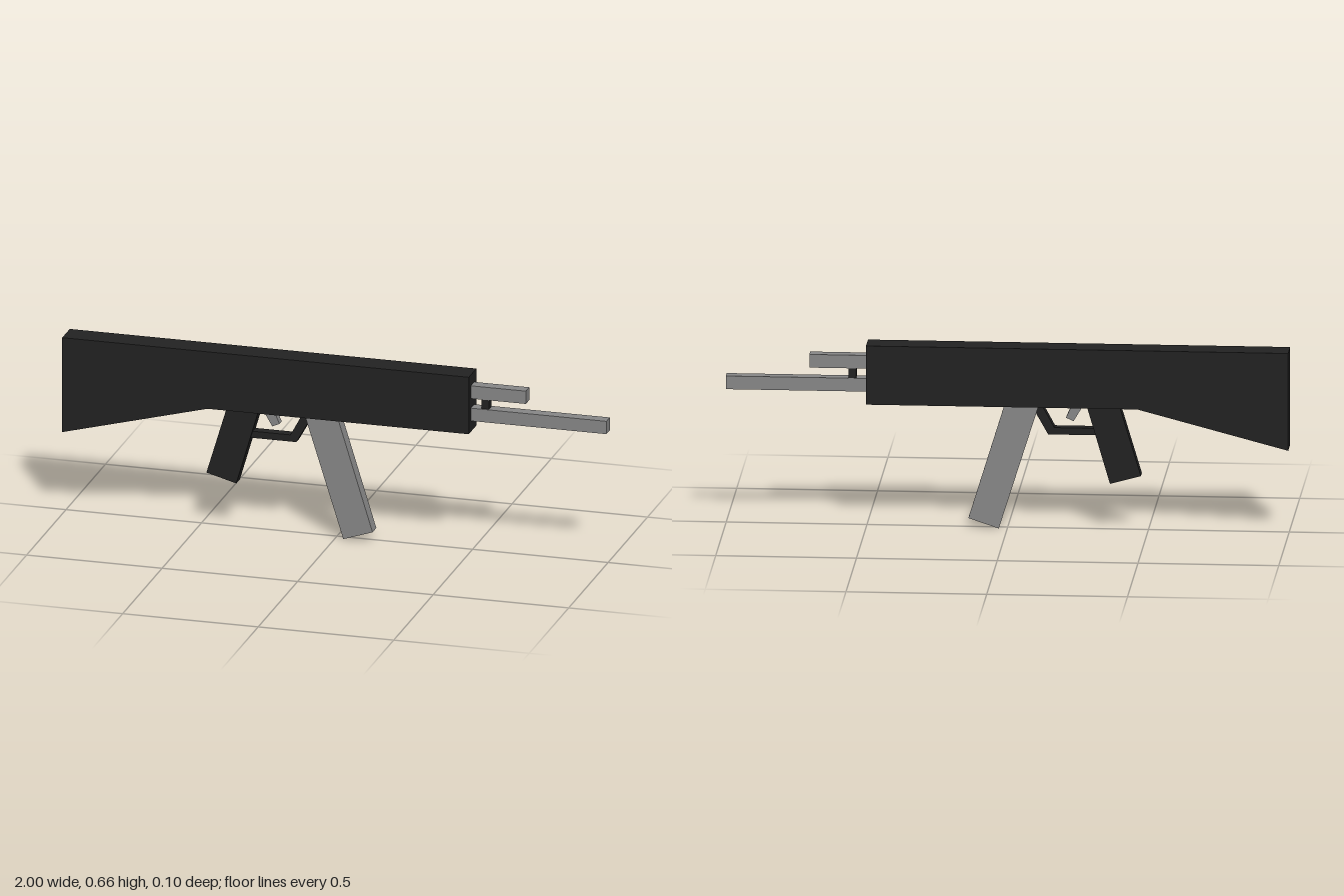
import * as THREE from 'three';

const dark = new THREE.MeshStandardMaterial({ color: 0x222222, flatShading: true });
const grey = new THREE.MeshStandardMaterial({ color: 0x888888, flatShading: true });

// Flat side profile extruded to a thickness, centred on z = 0
function slab(name, points, width, material) {
  const shape = new THREE.Shape(points.map(([x, y]) => new THREE.Vector2(x, y)));
  const geometry = new THREE.ExtrudeGeometry(shape, { depth: width, bevelEnabled: false });
  geometry.translate(0, 0, -width / 2);
  const mesh = new THREE.Mesh(geometry, material);
  mesh.name = name;
  return mesh;
}

// Box given by its x and y limits, centred on z = 0
function bar(name, x0, x1, y0, y1, width, material) {
  const mesh = new THREE.Mesh(new THREE.BoxGeometry(x1 - x0, y1 - y0, width), material);
  mesh.position.set((x0 + x1) / 2, (y0 + y1) / 2, 0);
  mesh.name = name;
  return mesh;
}

export function createModel() {
  const model = new THREE.Group();
  model.name = 'blockyRifle';

  model.add(
    // Receiver and tapered stock in one piece
    slab('bodyAndStock', [[-1, 0.308], [-0.464, 0.449], [0.5, 0.449], [0.5, 0.663], [-1, 0.663]], 0.096, dark),

    // Barrel, upper tube and the small post between them
    bar('barrel', 0.49, 1, 0.49, 0.538, 0.043, grey),
    bar('upperTube', 0.49, 0.703, 0.574, 0.622, 0.043, grey),
    bar('tubePost', 0.537, 0.565, 0.538, 0.574, 0.034, dark),

    // Slanted grip and magazine, sunk slightly into the body
    slab('grip', [[-0.475, 0.2], [-0.365, 0.17], [-0.277, 0.47], [-0.394, 0.47]], 0.048, dark),
    slab('magazine', [[0.03, 0], [0.138, 0.036], [0.004, 0.47], [-0.118, 0.47]], 0.048, grey),

    // Bent trigger guard
    slab('triggerGuard', [
      [-0.33, 0.345], [-0.145, 0.345], [-0.08, 0.46], [-0.118, 0.46], [-0.167, 0.37], [-0.33, 0.37],
    ], 0.036, dark),

    // Trigger
    slab('trigger', [[-0.235, 0.394], [-0.208, 0.406], [-0.232, 0.46], [-0.274, 0.46]], 0.028, grey),
  );
  return model;
}
